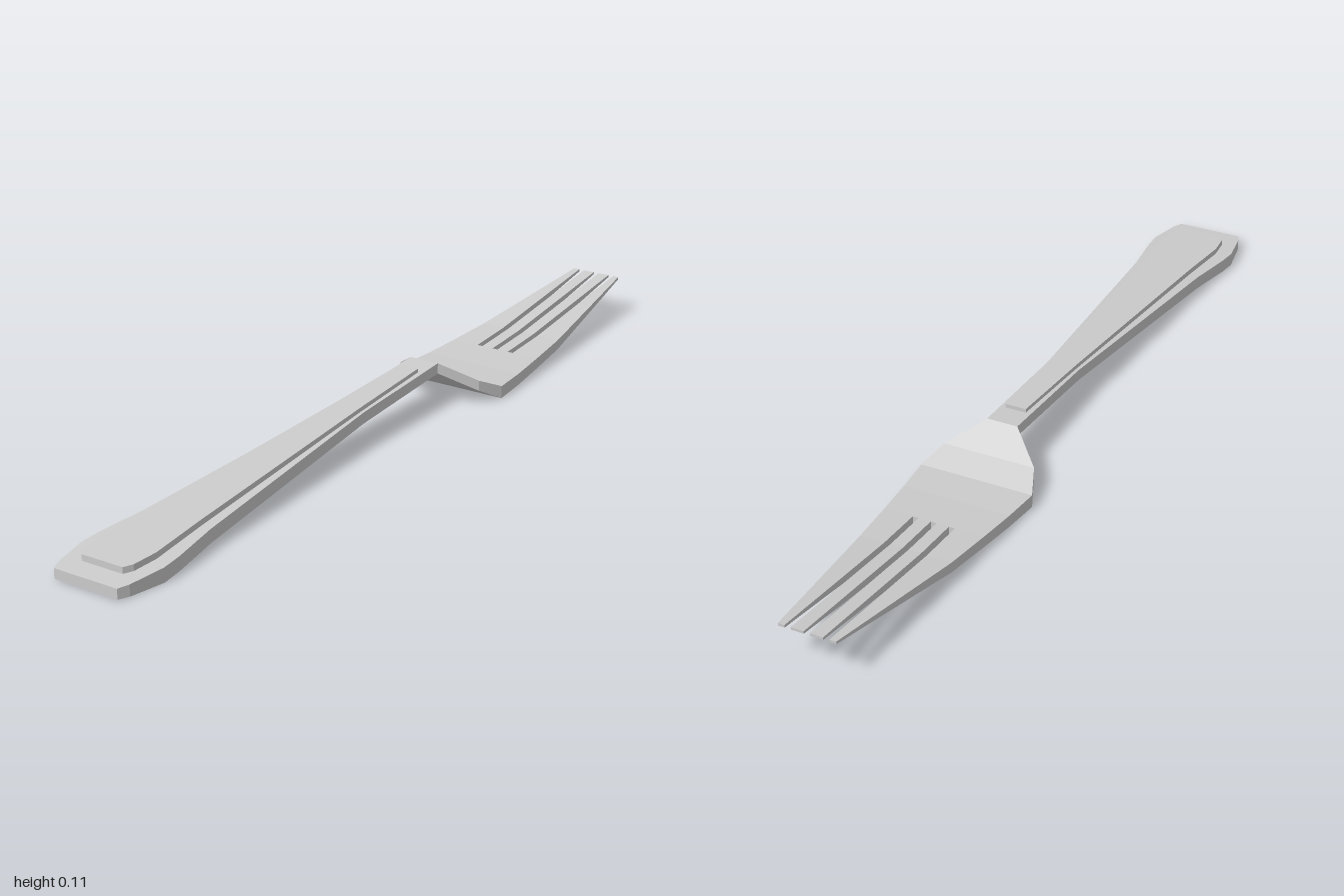
import * as THREE from 'three';

const material = new THREE.MeshStandardMaterial({ color: 0xcccccc, flatShading: true });

// Solid through rectangular sections [z, xLeft, xRight, yBottom, yTop], ordered front to back
function loft(name, sections) {
  const rings = sections.map(([z, l, r, b, t]) => [[l, b, z], [r, b, z], [r, t, z], [l, t, z]]);
  const pos = [];
  const quad = (a, b, c, d) => pos.push(...a, ...b, ...c, ...a, ...c, ...d);
  for (let s = 0; s < rings.length - 1; s++) {
    const f = rings[s], k = rings[s + 1];
    for (let i = 0; i < 4; i++) {
      const j = (i + 1) % 4;
      quad(f[i], k[i], k[j], f[j]);
    }
  }
  quad(...rings[0]);
  quad(...[...rings[rings.length - 1]].reverse());
  const geometry = new THREE.BufferGeometry();
  geometry.setAttribute('position', new THREE.Float32BufferAttribute(pos, 3));
  geometry.computeVertexNormals();
  const mesh = new THREE.Mesh(geometry, material);
  mesh.name = name;
  return mesh;
}

// Mirror-symmetric sections from [z, halfWidth, yBottom, yTop]
const symmetric = rows => rows.map(([z, w, b, t]) => [z, -w, w, b, t]);

// Sloping top face of the handle
const handleTop = z => 0.025 + (1 - z) * 0.0675;

export function createModel() {
  const fork = new THREE.Group();
  fork.name = 'fork';

  // Handle, flaring toward the blunt end
  const handle = [
    [1, 0.08, 0.002], [0.975, 0.09, 0.001], [0.89, 0.105, 0], [0.84, 0.102, 0.004],
    [0.72, 0.085, 0.013], [0.12, 0.04, 0.058], [-0.185, 0.037, 0.08],
  ].map(([z, w, b]) => [z, w, b, handleTop(z)]);
  fork.add(loft('handle', symmetric(handle)));

  // Raised panel on top of the handle
  const panel = [
    [0.95, 0.052], [0.93, 0.063], [0.87, 0.07], [0.72, 0.06], [0.12, 0.032], [-0.12, 0.025],
  ].map(([z, w]) => [z, w, handleTop(z) - 0.005, handleTop(z) + 0.009 + (z + 0.12) * 0.005]);
  fork.add(loft('handlePanel', symmetric(panel)));

  // Head dropping from the neck and widening at the shoulders
  fork.add(loft('head', symmetric([
    [-0.185, 0.037, 0.08, 0.105], [-0.25, 0.11, 0.032, 0.057], [-0.31, 0.135, 0, 0.03],
    [-0.4, 0.127, 0.003, 0.031], [-0.5, 0.118, 0.011, 0.037],
  ])));

  // Four tines; the outer pair tapers with the head outline
  const tineLevels = [[-0.5, 0.118, 0.011, 0.037], [-0.62, 0.107, 0.022, 0.046], [-1, 0.065, 0.09, 0.096]];
  const tines = new THREE.Group();
  tines.name = 'tines';
  for (const side of [-1, 1]) {
    for (const outer of [false, true]) {
      tines.add(loft(outer ? 'outerTine' : 'innerTine', tineLevels.map(([z, w, b, t]) => {
        const near = side * (outer ? 0.05 : 0.007);
        const far = side * (outer ? w : 0.036);
        return [z, Math.min(near, far), Math.max(near, far), b, t];
      })));
    }
  }
  fork.add(tines);
  return fork;
}
